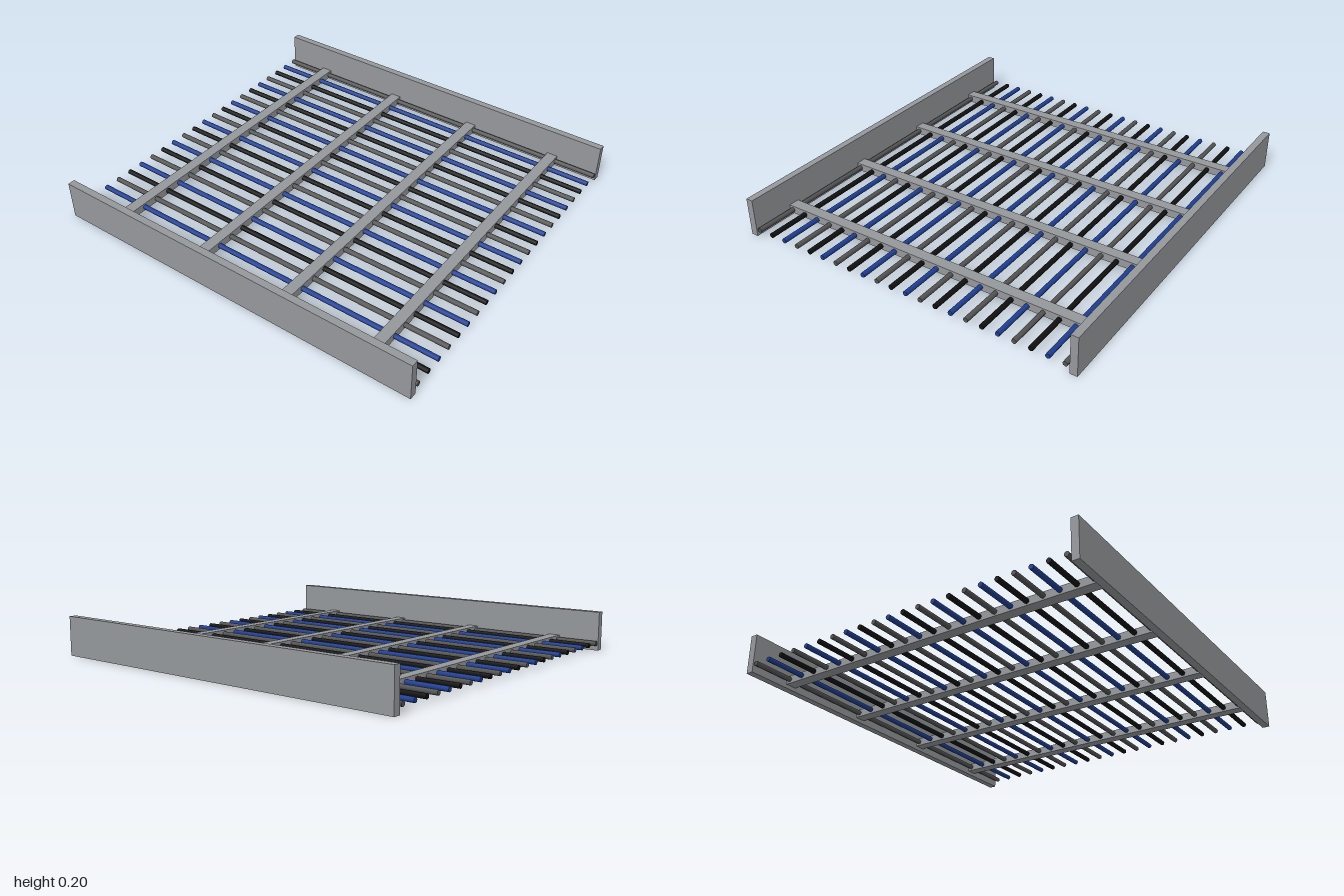
import * as THREE from 'three';

const material = (name, color) => {
  const m = new THREE.MeshStandardMaterial({ color });
  m.name = name;
  return m;
};

export function createModel() {
  const steel = material('steel grey', 0x95989c);
  const rodColours = [
    material('dark grey', 0x555555),
    material('black', 0x111111),
    material('blue', 0x1f3f94),
  ];

  const model = new THREE.Group();
  model.name = 'cableTray';
  const add = (name, geometry, mat, x, y, z) => {
    const mesh = new THREE.Mesh(geometry, mat);
    mesh.name = name;
    mesh.position.set(x, y, z);
    model.add(mesh);
  };

  // Side rails
  const rail = new THREE.BoxGeometry(0.037, 0.2, 2);
  add('leftRail', rail, steel, 0.8985, 0.1, 0);
  add('rightRail', rail, steel, -0.8985, 0.1, 0);

  // Rungs across the tray
  const rung = new THREE.BoxGeometry(1.765, 0.04, 0.057);
  for (let i = 0; i < 4; i++) add('rung', rung, steel, 0, 0.04, -0.753 + i * 0.5);

  // Cables running lengthwise, colours repeating from the right
  const count = 22;
  const cable = new THREE.CylinderGeometry(0.0125, 0.0125, 2, 8).rotateX(Math.PI / 2);
  for (let i = 0; i < count; i++) {
    const x = -0.859 + (1.718 * i) / (count - 1);
    add('cable', cable, rodColours[i % 3], x, 0.04, 0);
  }
  return model;
}
